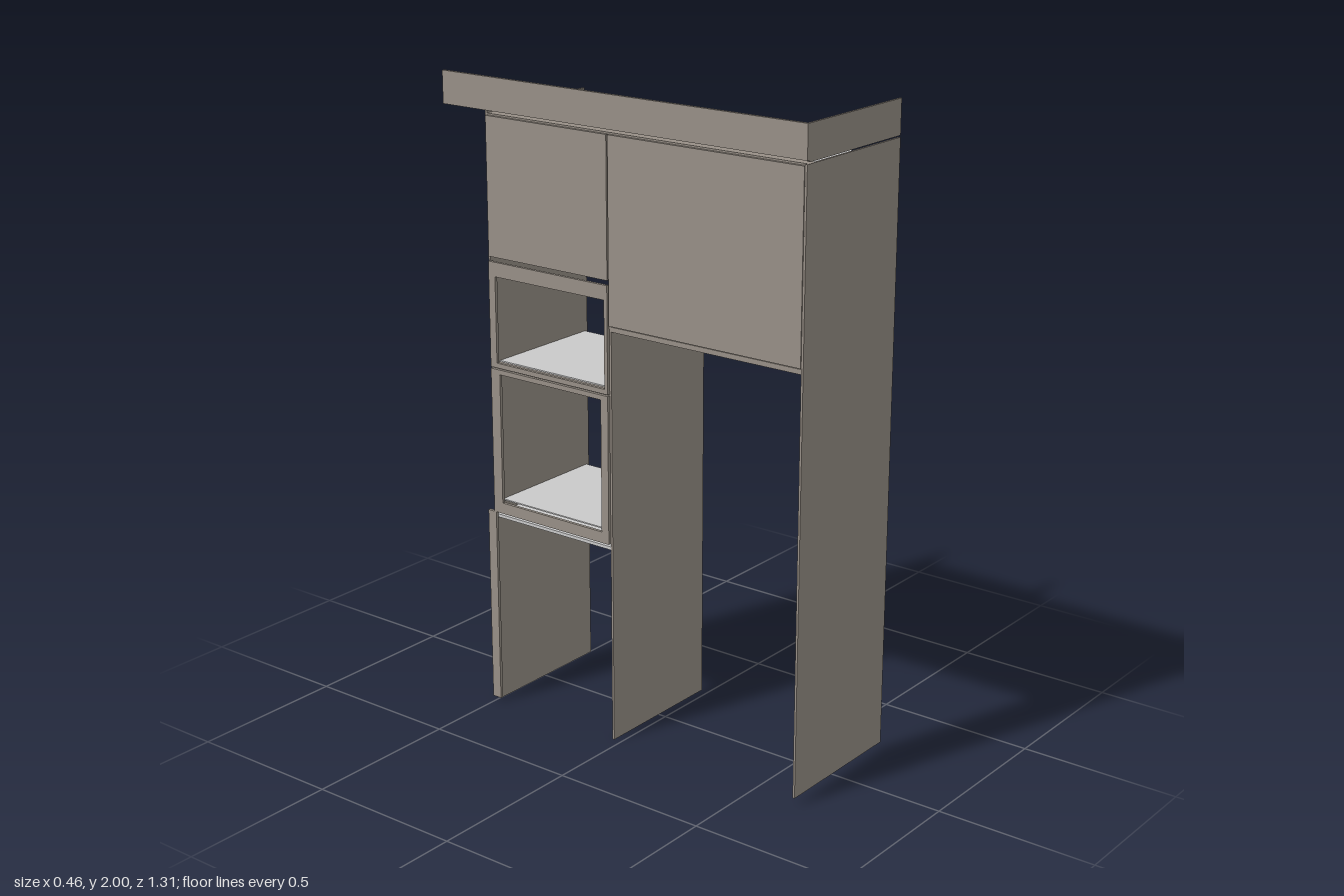
import * as THREE from 'three';

export function createModel() {
  const model = new THREE.Group();
  model.name = 'tallCabinetSurround';

  const wood = new THREE.MeshStandardMaterial({ color: 0x989087 });
  wood.name = 'taupe wood';
  const carcass = new THREE.MeshStandardMaterial({ color: 0xcacaca });
  carcass.name = 'light grey carcass';

  // Box given by its extents: [min, max] on each axis
  function block(name, material, [x0, x1], [y0, y1], [z0, z1]) {
    const mesh = new THREE.Mesh(new THREE.BoxGeometry(x1 - x0, y1 - y0, z1 - z0), material);
    mesh.position.set((x0 + x1) / 2, (y0 + y1) / 2, (z0 + z1) / 2);
    mesh.name = name;
    model.add(mesh);
    return mesh;
  }

  // Rectangular frame in the z-y plane with an opening
  function frame(name, [x0, x1], [y0, y1], [z0, z1], [oy0, oy1], [oz0, oz1]) {
    const group = new THREE.Group();
    group.name = name;
    group.add(
      block('bottomRail', wood, [x0, x1], [y0, oy0], [z0, z1]),
      block('topRail', wood, [x0, x1], [oy1, y1], [z0, z1]),
      block('rearStile', wood, [x0, x1], [oy0, oy1], [z0, oz0]),
      block('frontStile', wood, [x0, x1], [oy0, oy1], [oz1, z1]),
    );
    model.add(group);
  }

  const face = [-0.232, -0.222];  // layer of doors and trim
  const inner = [-0.222, -0.19];  // layer of rails and frames
  const depth = [-0.222, 0.225];  // depth of the upright panels
  const tall = [-0.49, -0.033];   // bay with the shelves
  const wide = [-0.026, 0.647];   // bay with the wide upper cabinet

  // Upright panels
  block('rearPanel', wood, depth, [0.005, 1.9], [-0.497, -0.49]);
  block('middlePanel', wood, depth, [0, 1.87], [-0.033, -0.026]);
  block('frontPanel', wood, [-0.232, 0.225], [0.025, 1.89], [0.647, 0.654]);

  // Crown strip and its return
  block('crownStrip', wood, face, [1.9, 2], [-0.655, 0.654]);
  block('crownReturn', wood, depth, [1.895, 2], [0.647, 0.654]);

  // Upper cabinets with doors
  block('tallBayCabinet', carcass, [-0.19, 0.10], [1.465, 1.872], tall);
  block('wideBayCabinet', carcass, [-0.19, 0.065], [1.35, 1.872], wide);
  block('tallBayDoor', wood, face, [1.46, 1.885], [-0.488, -0.032]);
  block('wideBayDoor', wood, face, [1.325, 1.885], [-0.027, 0.645]);

  // Rails above and below the cabinets
  block('topRail', wood, inner, [1.872, 1.89], [-0.49, 0.647]);
  block('cabinetRail', wood, inner, [1.325, 1.35], wide);
  block('lightRail', wood, inner, [1.305, 1.32], wide);

  // Open appliance frames
  frame('upperApplianceFrame', face, [1.115, 1.445], tall, [1.13, 1.40], [-0.465, -0.045]);
  frame('lowerApplianceFrame', face, [0.645, 1.11], tall, [0.68, 1.095], [-0.455, -0.06]);
  block('middleFrameRail', wood, inner, [1.097, 1.12], tall);

  // Shelves and bottom board
  for (const y of [1.12, 0.67]) block('shelf', carcass, [-0.19, 0.213], [y, y + 0.004], tall);
  block('bottomBoard', carcass, [-0.222, 0.10], [0.625, 0.635], tall);

  // Filler strip beside the rear panel
  block('fillerStrip', wood, face, [0.01, 0.645], [-0.515, -0.483]);

  return model;
}
